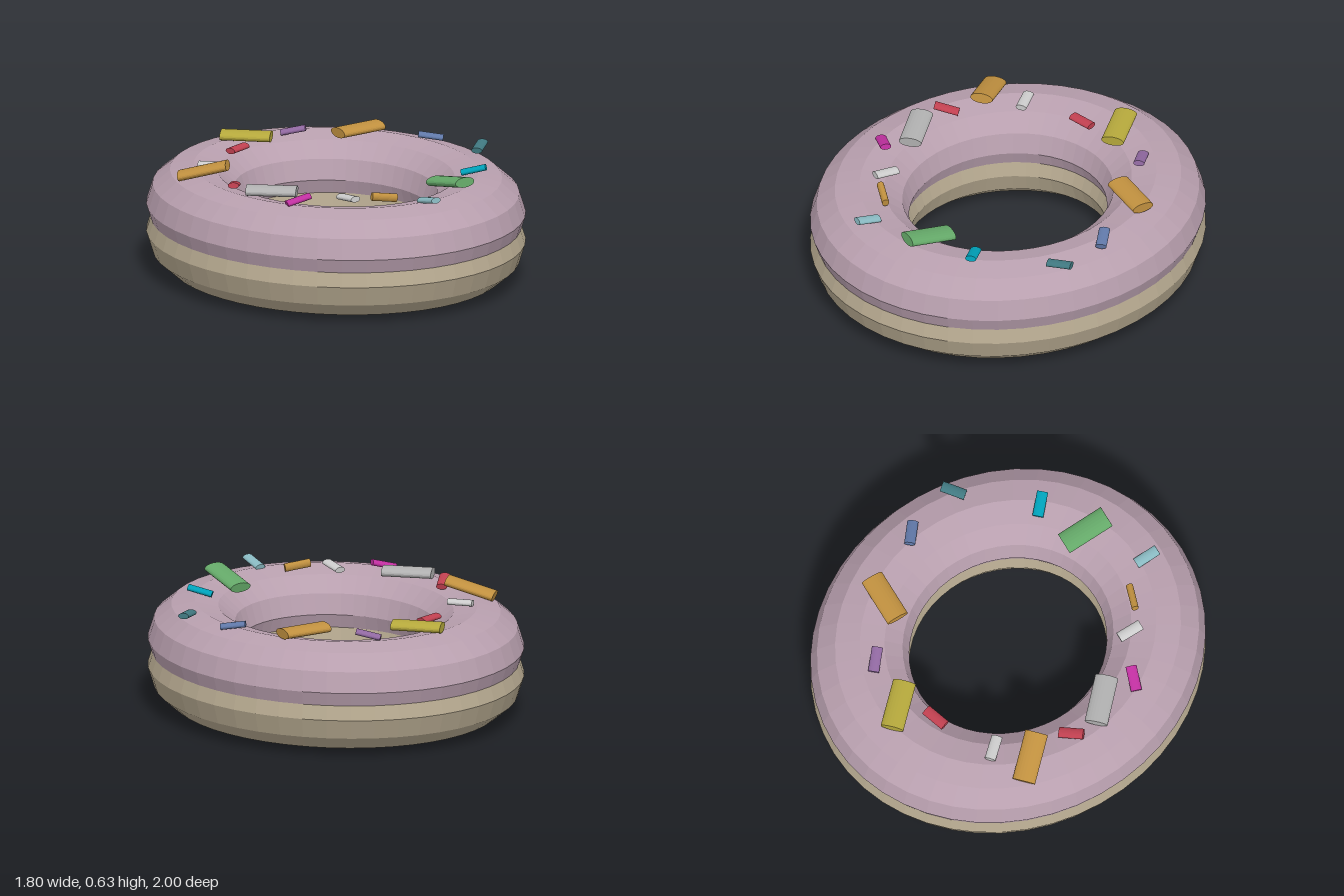
import * as THREE from 'three';

const mat = (color) => new THREE.MeshStandardMaterial({ color, flatShading: true });

// Oval ring lying flat, centred at the given height
function ring(name, y, color) {
  const geo = new THREE.TorusGeometry(0.75, 0.25, 12, 48);
  geo.rotateX(-Math.PI / 2);
  geo.scale(0.9, 0.8, 1);
  const mesh = new THREE.Mesh(geo, mat(color));
  mesh.name = name;
  mesh.position.y = y;
  return mesh;
}

// Flattened rod: heading turns from +x towards +z, tilt lifts its leading end (degrees)
function sprinkle([color, x, y, z, heading, tilt, length, width, height]) {
  const geo = new THREE.CylinderGeometry(0.5, 0.5, 1, 24);
  geo.rotateZ(-Math.PI / 2);
  geo.scale(length, height, width);
  const mesh = new THREE.Mesh(geo, mat(color));
  mesh.name = 'sprinkle';
  mesh.position.set(x, y, z);
  mesh.rotation.order = 'YZX';
  mesh.rotation.y = -THREE.MathUtils.degToRad(heading);
  mesh.rotation.z = THREE.MathUtils.degToRad(tilt);
  return mesh;
}

export function createModel() {
  const model = new THREE.Group();
  model.name = 'doughnut';
  model.add(ring('dough', 0.203, 0xb5a88f), ring('icing', 0.343, 0xb89fae));

  // color, x, y, z, heading, tilt, length, width, height
  const big = [0.25, 0.115, 0.05];
  const small = [0.125, 0.055, 0.03];
  const sprinkles = [
    [0xb5a83c, -0.06, 0.567, -0.665, 45, 0, ...big],
    [0xc0903f, 0.457, 0.567, -0.435, 0, 0, ...big],
    [0x64a868, 0.259, 0.566, 0.597, 90, 11, ...big],
    [0xb0b0b0, -0.548, 0.567, 0.21, 43, 0, ...big],
    [0xc0903f, -0.63, 0.58, -0.247, 46, 15, ...big],
    [0x9068a0, 0.207, 0.556, -0.637, 40, 12, ...small],
    [0xc04050, -0.206, 0.555, -0.538, -18, 0, ...small],
    [0x6078a8, 0.688, 0.558, -0.146, 38, -8, ...small],
    [0x407880, 0.772, 0.558, 0.146, -40, 6, ...small],
    [0x00a0b8, 0.492, 0.56, 0.477, 42, 14, ...small],
    [0x88b8c0, -0.013, 0.56, 0.788, 90, 12, ...small],
    [0xc0903f, -0.16, 0.562, 0.618, 18, -8, 0.13, 0.035, 0.042],
    [0xc0c0c0, -0.307, 0.56, 0.517, 90, 6, ...small],
    [0xc030a0, -0.53, 0.562, 0.406, 18, 14, ...small],
    [0xc04050, -0.62, 0.56, -0.005, 130, 12, ...small],
    [0xc0c0c0, -0.49, 0.557, -0.374, 47, 0, ...small],
  ];
  const topping = new THREE.Group();
  topping.name = 'sprinkles';
  for (const s of sprinkles) topping.add(sprinkle(s));
  model.add(topping);
  return model;
}
